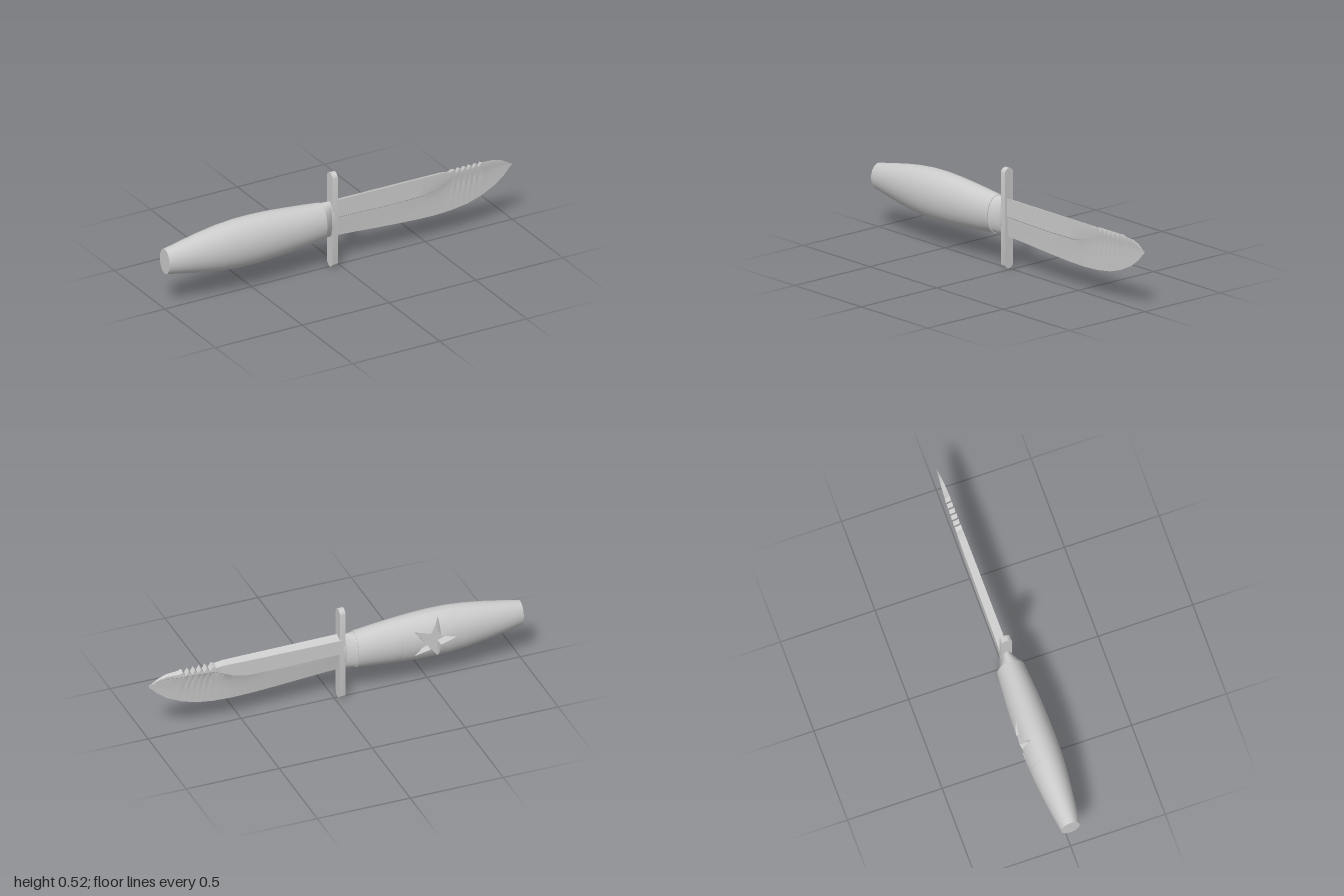
import * as THREE from 'three';
import { toCreasedNormals } from 'three/addons/utils/BufferGeometryUtils.js';

const CY = 0.264; // height of the handle axis

// Piecewise linear lookup in [[x, value], ...]
function lookup(table, x) {
  if (x <= table[0][0]) return table[0][1];
  for (let i = 1; i < table.length; i++) {
    const [x0, v0] = table[i - 1], [x1, v1] = table[i];
    if (x <= x1) return v0 + (v1 - v0) * (x - x0) / (x1 - x0);
  }
  return table[table.length - 1][1];
}

// Skin over closed cross-section loops; skip(i, j) leaves a cell open
function loft(rows, crease, skip = () => false) {
  const n = rows[0].length, index = [];
  for (let i = 0; i < rows.length - 1; i++) {
    for (let j = 0; j < n; j++) {
      if (skip(i, j)) continue;
      const k = (j + 1) % n;
      const a = i * n + j, b = i * n + k, c = a + n, d = b + n;
      index.push(a, b, c, b, d, c);
    }
  }
  const g = new THREE.BufferGeometry();
  g.setAttribute('position', new THREE.Float32BufferAttribute(rows.flat(2), 3));
  g.setIndex(index);
  return toCreasedNormals(g, crease);
}

const HALF_HEIGHT = [[-1, 0.067], [-0.9, 0.087], [-0.8, 0.106], [-0.7, 0.121], [-0.6, 0.13],
  [-0.5, 0.131], [-0.4, 0.127], [-0.3, 0.119], [-0.2, 0.11], [-0.105, 0.1]];
const HALF_DEPTH = [[-1, 0.049], [-0.9, 0.064], [-0.8, 0.076], [-0.7, 0.086], [-0.6, 0.091],
  [-0.5, 0.092], [-0.4, 0.09], [-0.3, 0.086], [-0.2, 0.079], [-0.105, 0.071]];
const SIDES = 32, STEP = Math.PI * 2 / SIDES;

// Point on the handle; phi = 0 is the middle of the back
const onHandle = (x, phi) => [x, CY + lookup(HALF_HEIGHT, x) * Math.sin(phi),
  -lookup(HALF_DEPTH, x) * Math.cos(phi)];

const oval = (x, ry, rz) => Array.from({ length: SIDES }, (_, j) =>
  [x, CY + ry * Math.sin(j * STEP), -rz * Math.cos(j * STEP)]);

const PATCH_X = -0.5, PATCH_W = 0.16, PATCH_STEPS = 7;

// Grip with an opening in the back for the star
function handleGeometry() {
  const xs = [-1, -0.9, -0.8, -0.7, -0.66, -0.6, -0.5, -0.4, -0.34, -0.3, -0.2, -0.105];
  const rows = xs.map(x => Array.from({ length: SIDES }, (_, j) => onHandle(x, j * STEP)));
  rows.unshift(oval(-1, 0, 0));
  rows.push(oval(-0.105, 0, 0));
  return loft(rows, 0.4, (i, j) => {
    const x0 = xs[i - 1], x1 = xs[i];
    const inX = x0 > PATCH_X - PATCH_W - 0.001 && x1 < PATCH_X + PATCH_W + 0.001;
    return inX && (j < PATCH_STEPS || j >= SIDES - PATCH_STEPS);
  });
}

// Back panel: star floor, star walls and the curved skin around them
function starGeometry() {
  const span = PATCH_STEPS * STEP, floor = -0.042, inner = [], outer = [];
  const corner = k => {
    const r = k % 2 ? 0.048 : 0.12, a = THREE.MathUtils.degToRad(36 + k * 36);
    return [r * Math.cos(a), r * Math.sin(a)];
  };
  for (let k = 0; k < 10; k++) {
    const p = corner(k), q = corner(k + 1);
    for (let s = 0; s < 10; s++) {
      const u = p[0] + (q[0] - p[0]) * s / 10, v = p[1] + (q[1] - p[1]) * s / 10;
      const phi = Math.asin(v / lookup(HALF_HEIGHT, PATCH_X + u));
      const e = [u / PATCH_W, phi / span], m = Math.max(Math.abs(e[0]), Math.abs(e[1]));
      inner.push(e);
      outer.push([e[0] / m, e[1] / m]);
    }
  }
  // Snap the nearest rim points to the panel corners
  for (const [cx, cy] of [[1, 1], [-1, 1], [-1, -1], [1, -1]]) {
    let best = outer[0];
    const dist = p => Math.hypot(p[0] - cx, p[1] - cy);
    for (const p of outer) if (dist(p) < dist(best)) best = p;
    best[0] = cx;
    best[1] = cy;
  }
  const ring = t => inner.map((e, i) => onHandle(
    PATCH_X + PATCH_W * (e[0] + (outer[i][0] - e[0]) * t), span * (e[1] + (outer[i][1] - e[1]) * t)));
  const edge = ring(0);
  const rows = [edge.map(() => [PATCH_X, CY, floor]), edge.map(p => [p[0], p[1], floor])];
  for (let i = 0; i <= 6; i++) rows.push(ring(i / 6));
  return loft(rows, 0.4);
}

// Upright bar with round ends
function guardGeometry() {
  const r = 0.028, s = new THREE.Shape();
  s.absarc(0, 0.52 - r, r, 0, Math.PI);
  s.absarc(0, r, r, Math.PI, Math.PI * 2);
  const g = new THREE.ExtrudeGeometry(s, { depth: 0.03, bevelEnabled: false, curveSegments: 12 });
  g.rotateY(Math.PI / 2);
  g.translate(-0.05, 0, 0);
  return toCreasedNormals(g, 0.5);
}

// Hollow-ground blade with a toothed spine near the tip
function bladeGeometry() {
  const top = [[-0.03, 0.364], [0.6, 0.362], [0.64, 0.356]];
  for (let i = 0; i <= 10; i++) top.push([0.66 + i * 0.016, i % 2 ? 0.342 : 0.366]);
  top.push([0.84, 0.358], [0.9, 0.355], [0.94, 0.343], [1, 0.307]);
  const bottom = [[-0.03, 0.166], [0.1, 0.158], [0.3, 0.144], [0.45, 0.136], [0.55, 0.134], [0.65, 0.139],
    [0.74, 0.152], [0.82, 0.177], [0.9, 0.216], [0.95, 0.255], [1, 0.307]];
  const shoulder = [[-0.03, 0.27], [0.3, 0.262], [0.48, 0.264], [0.56, 0.283], [0.62, 0.31], [0.66, 0.325],
    [0.82, 0.33], [0.9, 0.335], [0.95, 0.325], [1, 0.307]];
  const thick = [[-0.03, 1], [0.5, 0.85], [0.82, 0.6], [0.92, 0.35], [1, 0]];
  const xs = [...new Set([top, bottom, shoulder].flat().map(p => p[0]))].sort((a, b) => a - b);
  const rows = xs.map(x => {
    const t = lookup(top, x), b = lookup(bottom, x), k = lookup(thick, x);
    const s = Math.min(lookup(shoulder, x), t - 0.012 * k);
    const f = 0.014 * k, r = -0.03 * k, e = 0.003 * k;
    const cut = lookup([[0.35, 0.6], [0.56, 0.92]], x); // undercut below the flat
    const ripple = x > 0.65 && x < 0.83 ? (t - 0.354) * 0.15 : 0;
    const m1 = s + (b - s) * 0.3, m2 = s + (b - s) * 0.65;
    return [
      [x, b, e],
      [x, m2, e + (r - e) * 0.2], [x, m1, e + (r - e) * 0.45 - ripple],
      [x, s - 0.004 * k, e + (r - e) * cut], [x, s, r],
      [x, t - 0.016 * k, r], [x, t, f],
      [x, s, f], [x, s - 0.004 * k, e + (f - e) * cut],
      [x, m1, e + (f - e) * 0.45 + ripple], [x, m2, e + (f - e) * 0.2],
    ];
  });
  return loft(rows, 0.35);
}

export function createModel() {
  const group = new THREE.Group();
  const steel = new THREE.MeshStandardMaterial({ color: 0xcccccc });
  steel.name = 'light grey';
  const add = (name, geometry) => {
    const mesh = new THREE.Mesh(geometry, steel);
    mesh.name = name;
    group.add(mesh);
  };
  add('handle', handleGeometry());
  add('starRecess', starGeometry());
  // Collar narrowing towards the guard
  add('collar', loft([oval(-0.106, 0.097, 0.066), oval(-0.055, 0.097, 0.032), oval(-0.04, 0.097, 0.032)], 0.4));
  add('guard', guardGeometry());
  add('blade', bladeGeometry());
  return group;
}
